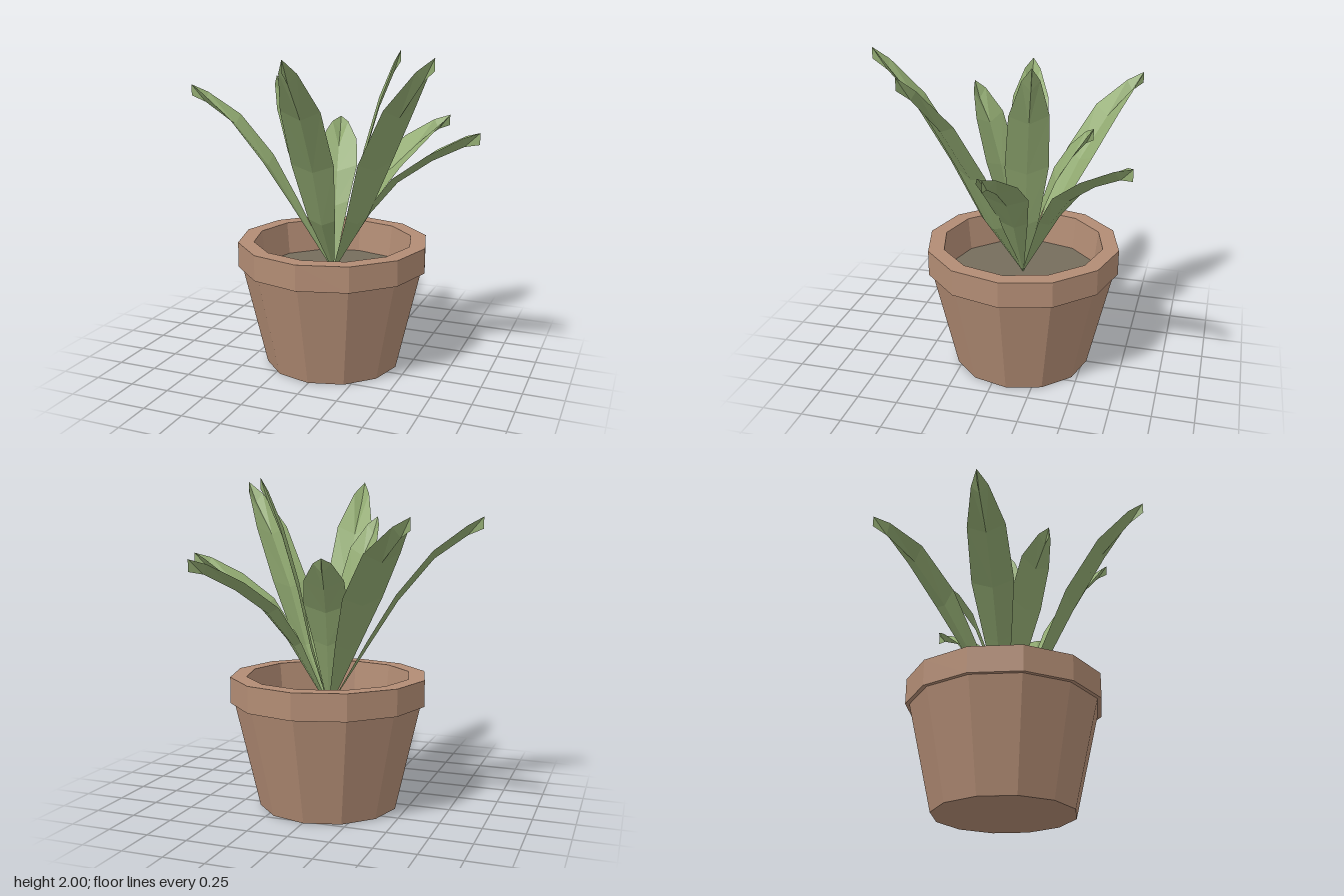
import * as THREE from 'three';

const CX = -0.005, CZ = -0.095, SOIL_Y = 0.6, FOLD_TIP = 0.07;

// Stations along a leaf: reach, half width, and lift of the edges above the keel
const REACH = [0, 0.27, 0.46, 0.69, 0.9, 1];
const HALF_WIDTH = [0.005, 0.085, 0.13, 0.117, 0.052, 0];
const FOLD = [0, 0.035, 0.045, 0.05, 0.058, FOLD_TIP];

// Rise of the keel at each station, by leaf height
const RISE = {
  low: [0, 0.46, 0.7, 0.87, 0.98, 1],
  mid: [0, 0.36, 0.61, 0.84, 0.965, 1],
  high: [0, 0.27, 0.54, 0.79, 0.95, 1],
};
const TIP_Y = { low: 1.54, mid: 1.77, high: 2.0 };

// V-folded leaf from the soil to a pointed tip
function leafGeometry(tipX, tipZ, kind) {
  const dx = tipX - CX, dz = tipZ - CZ, len = Math.hypot(dx, dz);
  const sx = -dz / len, sz = dx / len;
  const height = TIP_Y[kind] - FOLD_TIP - SOIL_Y;
  const rows = REACH.map((s, i) => {
    const x = CX + dx * s, z = CZ + dz * s, y = SOIL_Y + height * RISE[kind][i];
    const w = HALF_WIDTH[i];
    return [
      [x - sx * w, y + FOLD[i], z - sz * w],
      [x, y, z],
      [x + sx * w, y + FOLD[i], z + sz * w],
    ];
  });
  const pos = [];
  for (let i = 0; i < rows.length - 1; i++) {
    for (let j = 0; j < 2; j++) {
      const a = rows[i][j], b = rows[i][j + 1], c = rows[i + 1][j + 1], d = rows[i + 1][j];
      // split both halves symmetrically about the keel
      const tris = j === 0 ? [a, b, d, b, c, d] : [a, b, c, a, c, d];
      for (let k = 0; k < 6; k += 3) pos.push(...tris[k], ...tris[k + 2], ...tris[k + 1]);
    }
  }
  const g = new THREE.BufferGeometry();
  g.setAttribute('position', new THREE.Float32BufferAttribute(pos, 3));
  g.computeVertexNormals();
  return g;
}

export function createModel() {
  const model = new THREE.Group();
  model.name = 'pottedPlant';
  const material = (name, color, extra = {}) =>
    Object.assign(new THREE.MeshStandardMaterial({ color, flatShading: true, ...extra }), { name });
  const clay = material('clay', 0xb28c74);
  const earth = material('earth', 0x756d5c);
  const green = material('leafGreen', 0x92ab72, { side: THREE.DoubleSide });

  // Twelve-sided pot with a thick rim and hollow top
  const profile = [
    [0, 0], [0.43, 0], [0.58, 0.65], [0.605, 0.65],
    [0.605, 0.81], [0.505, 0.81], [0.48, SOIL_Y],
  ].map(([r, y]) => new THREE.Vector2(r, y));
  const pot = new THREE.Mesh(new THREE.LatheGeometry(profile, 12), clay);
  pot.name = 'pot';
  pot.position.set(CX, 0, CZ);

  // Soil disc
  const soil = new THREE.Mesh(new THREE.CircleGeometry(0.48, 12), earth);
  soil.name = 'soil';
  soil.rotation.x = -Math.PI / 2;
  soil.position.set(CX, SOIL_Y, CZ);
  model.add(pot, soil);

  // Six spreading outer leaves and three upright inner leaves
  const leaves = new THREE.Group();
  leaves.name = 'leaves';
  const tips = [
    [0.91, -0.1, 'low'], [0.55, -0.82, 'low'],
    [-0.91, 0.06, 'mid'], [-0.68, -0.72, 'mid'],
    [0.76, 0.4, 'high'], [0.07, 0.82, 'high'],
    [-0.11, -0.5, 'low'], [-0.2, 0.265, 'mid'], [0.38, -0.23, 'high'],
  ];
  tips.forEach(([x, z, kind], i) => {
    const leaf = new THREE.Mesh(leafGeometry(x, z, kind), green);
    leaf.name = (i < 6 ? 'outerLeaf' : 'innerLeaf') + (i % 6 + 1);
    leaves.add(leaf);
  });
  model.add(leaves);
  return model;
}
